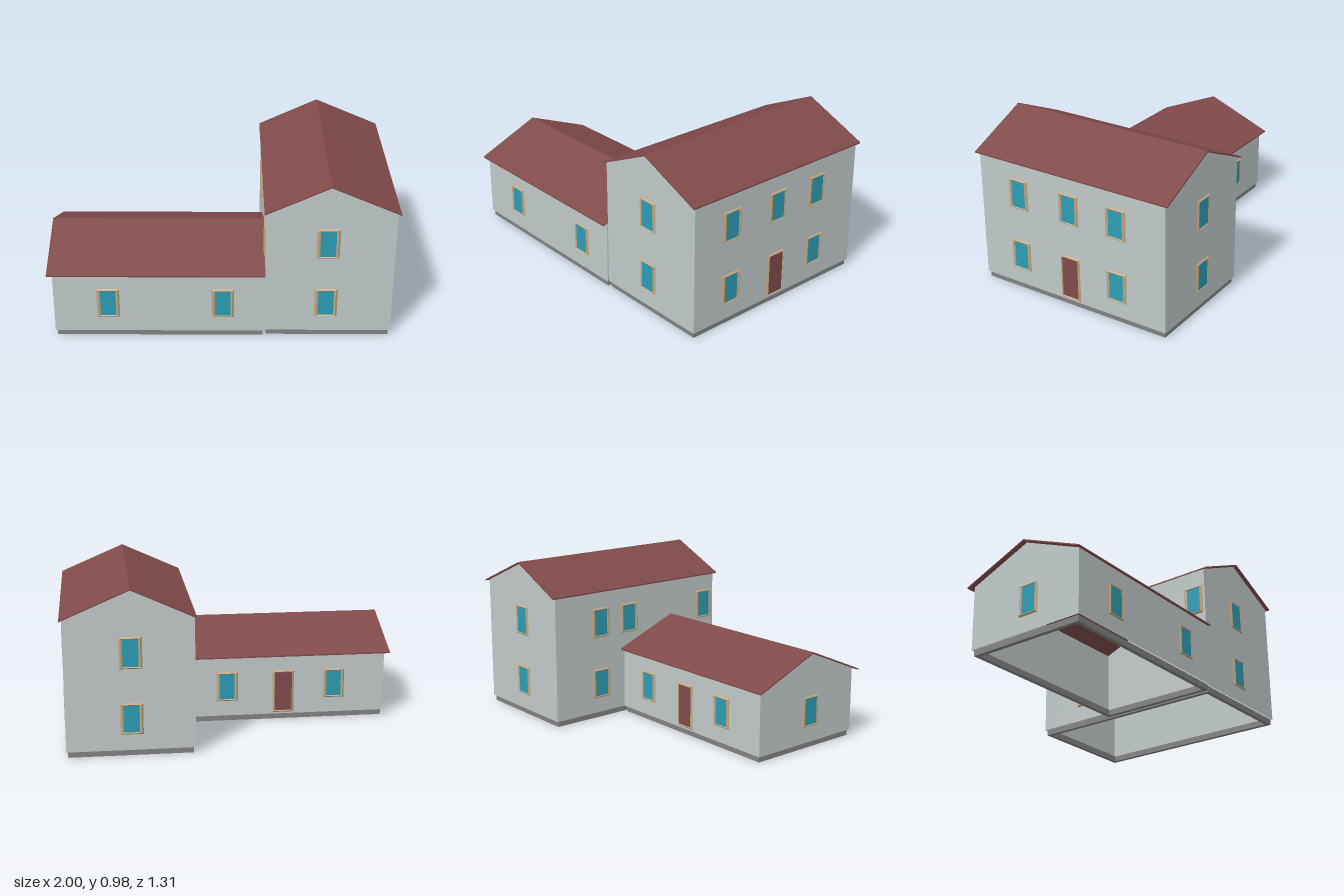
import * as THREE from 'three';

const mat = (name, color, side = THREE.FrontSide) => {
  const m = new THREE.MeshStandardMaterial({ color, side });
  m.name = name;
  return m;
};

export function createModel() {
  const wallMat = mat('pale plaster', 0xc0c9c8, THREE.DoubleSide);
  const roofMat = mat('red roof tile', 0x804a4a, THREE.DoubleSide);
  const doorMat = mat('red door paint', 0x804a4a);
  const glassMat = mat('blue glass', 0x2c9cb4);
  const frameMat = mat('tan frame', 0xc2a680, THREE.DoubleSide);
  const baseMat = mat('grey stone', 0x828282);

  const model = new THREE.Group();
  model.name = 'house';

  const add = (parent, name, geometry, material) => {
    const mesh = new THREE.Mesh(geometry, material);
    mesh.name = name;
    parent.add(mesh);
    return mesh;
  };
  const polygon = (pts) => new THREE.Shape(pts.map(([x, y]) => new THREE.Vector2(x, y)));
  const rect = (x0, y0, x1, y1) => [[x0, y0], [x1, y0], [x1, y1], [x0, y1]];

  // One open-bottomed building block with its ridge along local z
  const FLOOR = 0.035, T = 0.008;
  function block(name, { x0, x1, z0, z1, roofX, roofZ0, roofZ1, eave, ridge, ridgeX, gables }) {
    const g = new THREE.Group();
    g.name = name;

    // Roof: a thin chevron
    const chevron = polygon([
      [roofX[0], eave], [ridgeX, ridge - T], [roofX[1], eave],
      [roofX[1], eave + T], [ridgeX, ridge], [roofX[0], eave + T],
    ]);
    const roof = new THREE.ExtrudeGeometry(chevron, { depth: roofZ1 - roofZ0, bevelEnabled: false });
    add(g, 'roof', roof.translate(0, 0, roofZ0), roofMat);

    // Walls reach the underside of the roof
    const under = (x) => {
      const edge = x < ridgeX ? roofX[0] : roofX[1];
      return eave + (ridge - T - eave) * (x - edge) / (ridgeX - edge);
    };
    const gable = polygon([[x0, FLOOR], [x1, FLOOR], [x1, under(x1)], [ridgeX, ridge - T], [x0, under(x0)]]);
    for (const end of gables) {
      const wall = add(g, 'gableWall', new THREE.ShapeGeometry(gable), wallMat);
      wall.position.z = end > 0 ? z1 : z0;
      // Turn the far gable's face outward
      if (end < 0) {
        wall.geometry.index.array.reverse();
        wall.geometry.attributes.normal.array.forEach((v, i, a) => { a[i] = -v; });
      }
    }
    for (const [x, dir] of [[x0, -1], [x1, 1]]) {
      const h = under(x) - FLOOR;
      const wall = add(g, 'sideWall', new THREE.PlaneGeometry(z1 - z0, h), wallMat);
      wall.rotation.y = dir * Math.PI / 2;
      wall.position.set(x, FLOOR + h / 2, (z0 + z1) / 2);
    }

    // Foundation ring, set slightly in from the walls
    const a = 0.01, b = 0.035;
    const ring = polygon(rect(x0 + a, z0 + a, x1 - a, z1 - a));
    ring.holes.push(polygon(rect(x0 + b, z0 + b, x1 - b, z1 - b)));
    const base = new THREE.ExtrudeGeometry(ring, { depth: FLOOR, bevelEnabled: false });
    // Shape y becomes z
    base.rotateX(-Math.PI / 2).translate(0, 0, z0 + z1);
    add(g, 'foundation', base, baseMat);

    model.add(g);
    return g;
  }

  block('tallHouse', {
    x0: 0.25, x1: 0.985, z0: -0.635, z1: 0.62, roofX: [0.24, 1], roofZ0: -0.655, roofZ1: 0.643,
    eave: 0.8, ridge: 0.976, ridgeX: 0.607, gables: [1, -1],
  });

  // Local x runs toward the back, local z toward the tall house
  const wing = block('lowWing', {
    x0: -0.63, x1: 0.12, z0: -0.97, z1: 0.25, roofX: [-0.653, 0.147], roofZ0: -1, roofZ1: 0.25,
    eave: 0.408, ridge: 0.582, ridgeX: -0.262, gables: [-1],
  });
  wing.rotation.y = Math.PI / 2;

  // Raised frame made of nested rectangles: [half width, half height, depth]
  function frameGeometry(loops) {
    const pos = [];
    const corner = ([w, h, d], i) => [[-w, -h, d], [w, -h, d], [w, h, d], [-w, h, d]][i % 4];
    for (let k = 0; k < loops.length - 1; k++) {
      for (let i = 0; i < 4; i++) {
        const p = corner(loops[k], i), q = corner(loops[k], i + 1);
        const r = corner(loops[k + 1], i + 1), s = corner(loops[k + 1], i);
        pos.push(...p, ...q, ...r, ...p, ...r, ...s);
      }
    }
    const geo = new THREE.BufferGeometry();
    geo.setAttribute('position', new THREE.Float32BufferAttribute(pos, 3));
    geo.computeVertexNormals();
    return geo;
  }

  function opening(kind, x, y, z, turn) {
    const door = kind === 'door';
    const w = 0.066, h = door ? 0.135 : 0.0925, pw = door ? 0.053 : 0.045, ph = h - 0.013;
    const g = new THREE.Group();
    g.name = kind;
    add(g, 'frame', frameGeometry([[w, h, 0], [w - 0.011, h - 0.008, 0.009], [pw, ph, 0.005]]), frameMat);
    add(g, door ? 'doorPanel' : 'pane', new THREE.PlaneGeometry(pw * 2, ph * 2), door ? doorMat : glassMat)
      .position.z = 0.005;
    g.position.set(x, y, z);
    g.rotation.y = turn;
    model.add(g);
  }

  const LOW = 0.222, HIGH = 0.608, DOOR = 0.18;
  const FRONT = 0, BACK = Math.PI, EAST = Math.PI / 2, WEST = -Math.PI / 2;

  // Tall house openings
  for (const y of [LOW, HIGH]) {
    opening('window', 0.603, y, 0.62, FRONT);
    opening('window', 0.612, y, -0.635, BACK);
    for (const z of [0.35, -0.315]) opening('window', 0.985, y, z, EAST);
    opening('window', 0.25, y, -0.3, WEST);
  }
  opening('window', 0.985, HIGH, 0, EAST);
  opening('door', 0.985, DOOR, 0, EAST);
  for (const z of [-0.08, 0.54]) opening('window', 0.25, HIGH, z, WEST);

  // Low wing openings
  for (const x of [-0.655, 0.007]) {
    opening('window', x, LOW, 0.63, FRONT);
    opening('window', x, LOW, -0.12, BACK);
  }
  opening('door', -0.34, DOOR, -0.12, BACK);
  opening('window', -0.97, LOW, 0.285, WEST);

  return model;
}
